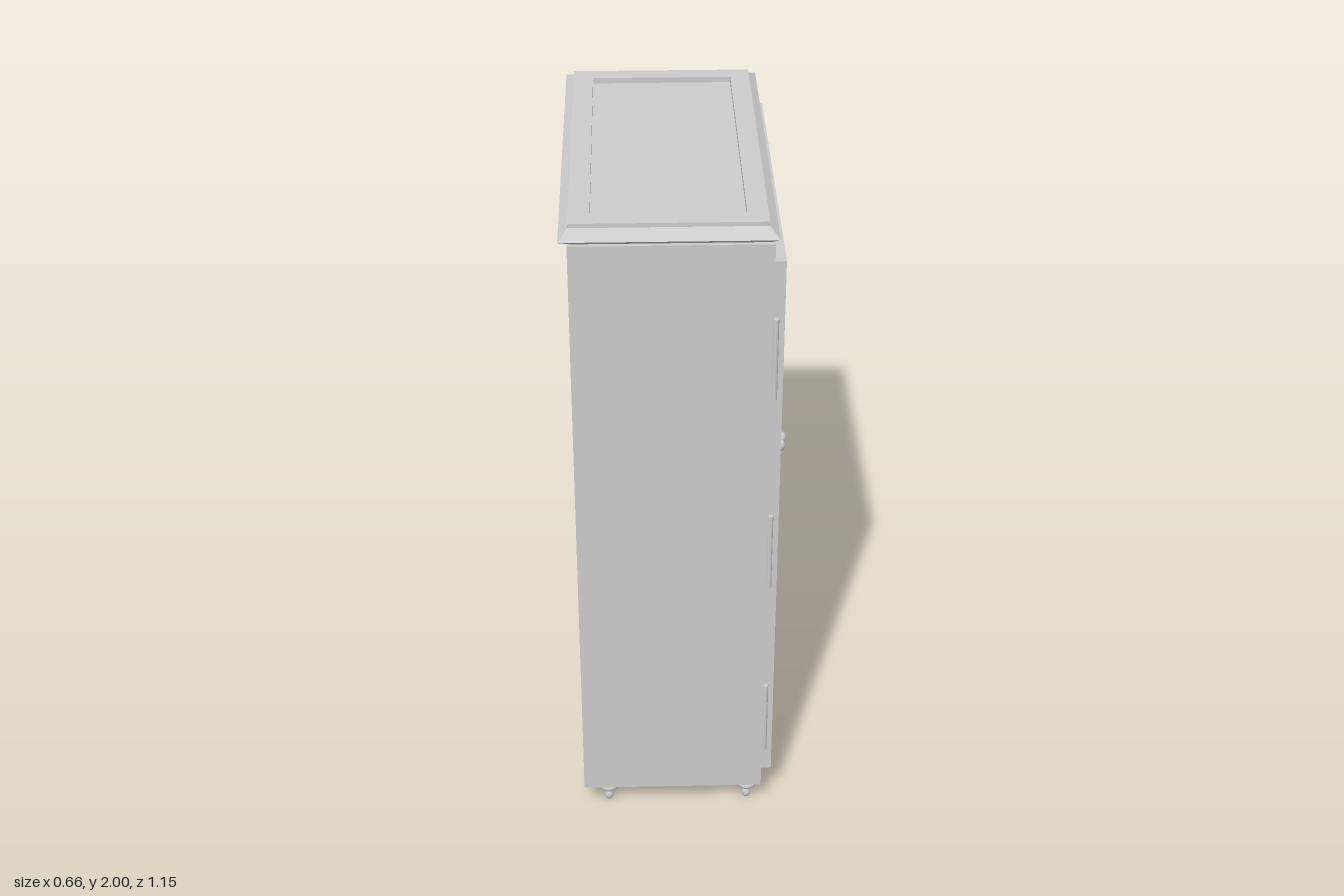
import * as THREE from 'three';

const grey = new THREE.MeshStandardMaterial({ color: 0xcccccc, side: THREE.DoubleSide });

function add(parent, name, geometry, x = 0, y = 0, z = 0) {
  const mesh = new THREE.Mesh(geometry, grey);
  mesh.name = name;
  mesh.position.set(x, y, z);
  parent.add(mesh);
  return mesh;
}

// Box given by its extents
function slab(parent, name, x0, x1, y0, y1, z0, z1) {
  return add(parent, name, new THREE.BoxGeometry(x1 - x0, y1 - y0, z1 - z0),
    (x0 + x1) / 2, (y0 + y1) / 2, (z0 + z1) / 2);
}

// Rectangular rings [x0, x1, z0, z1, y] joined by flat faces, last ring capped
function loftRects(rings) {
  const corners = rings.map(([x0, x1, z0, z1, y]) =>
    [[x0, y, z0], [x0, y, z1], [x1, y, z1], [x1, y, z0]]);
  const pos = [];
  const quad = (a, b, c, d) => pos.push(...a, ...b, ...c, ...a, ...c, ...d);
  for (let r = 0; r < corners.length - 1; r++) {
    for (let i = 0; i < 4; i++) {
      const j = (i + 1) % 4;
      quad(corners[r][i], corners[r][j], corners[r + 1][j], corners[r + 1][i]);
    }
  }
  quad(...corners[corners.length - 1]);
  const g = new THREE.BufferGeometry();
  g.setAttribute('position', new THREE.Float32BufferAttribute(pos, 3));
  g.computeVertexNormals();
  return g;
}

// Door frame with an open window, facing +x
function door(parent, name, z0, z1, w0, w1) {
  const rect = (P, a, b, y0, y1) => {
    const p = new P();
    p.moveTo(-a, y0);
    p.lineTo(-b, y0);
    p.lineTo(-b, y1);
    p.lineTo(-a, y1);
    p.closePath();
    return p;
  };
  const shape = rect(THREE.Shape, z0, z1, 0.13, 1.886);
  shape.holes.push(rect(THREE.Path, w0, w1, 0.155, 1.86));
  const g = new THREE.ExtrudeGeometry(shape, { depth: 0.032, bevelEnabled: false });
  g.rotateY(Math.PI / 2);
  add(parent, name, g, 0.235);
}

export function createModel() {
  const model = new THREE.Group();
  model.name = 'cabinet';

  // Carcass, open towards +x
  const X0 = -0.31, X1 = 0.235, Y0 = 0.085, Y1 = 1.95, Z0 = -0.558, Z1 = 0.553, T = 0.028;
  const body = new THREE.Group();
  body.name = 'carcass';
  model.add(body);
  slab(body, 'sidePanel', X0, X1, Y0, Y1, Z1 - T, Z1);
  slab(body, 'sidePanel', X0, X1, Y0, Y1, Z0, Z0 + T);
  slab(body, 'floorPanel', X0, X1, Y0, Y0 + 0.04, Z0 + T, Z1 - T);
  slab(body, 'ceilingPanel', X0, X1, Y1 - 0.04, Y1, Z0 + T, Z1 - T);
  slab(body, 'backPanel', X0, X0 + 0.025, Y0 + 0.04, Y1 - 0.04, Z0 + T, Z1 - T);

  // Shelves
  for (const y of [0.493, 0.855, 1.157, 1.528]) {
    slab(body, 'shelf', X0 + 0.025, 0.215, y - 0.012, y + 0.012, Z0 + T, Z1 - T);
  }

  // Cornice with a sunken top
  add(model, 'cornice', loftRects([
    [-0.30, 0.225, -0.545, 0.54, 1.95],
    [-0.333, 0.246, -0.576, 0.571, 1.97],
    [-0.308, 0.221, -0.527, 0.522, 1.988],
    [-0.308, 0.221, -0.527, 0.522, 2.0],
    [-0.25, 0.164, -0.47, 0.464, 2.0],
    [-0.25, 0.164, -0.47, 0.464, 1.983],
  ]));

  // Doors
  door(model, 'leftDoor', -0.001, 0.526, 0.033, 0.5);
  door(model, 'rightDoor', -0.536, -0.006, -0.51, -0.037);

  // Hinges
  for (const z of [0.534, -0.542]) {
    for (const y of [0.339, 0.955, 1.593]) {
      add(model, 'hinge', new THREE.CylinderGeometry(0.008, 0.008, 0.25, 12), 0.243, y, z);
    }
  }

  // Knobs
  for (const [x, z] of [[0.306, 0.013], [0.312, -0.031]]) {
    const knob = new THREE.Group();
    knob.name = 'knob';
    knob.position.set(x, 0.988, z);
    model.add(knob);
    add(knob, 'knobBall', new THREE.SphereGeometry(0.019, 20, 14));
    add(knob, 'knobStem', new THREE.CylinderGeometry(0.007, 0.007, 0.03, 12), -0.015)
      .rotation.z = Math.PI / 2;
  }

  // Turned feet
  const profile = [[0, 0], [0.009, 0], [0.013, 0.008], [0.014, 0.018], [0.011, 0.026],
    [0.008, 0.031], [0.01, 0.036], [0.022, 0.041], [0.029, 0.048], [0.03, 0.056],
    [0.026, 0.064], [0.021, 0.07], [0.021, 0.086]].map(([r, y]) => new THREE.Vector2(r, y));
  const footGeometry = new THREE.LatheGeometry(profile, 20);
  for (const x of [-0.235, 0.194]) {
    for (const z of [-0.502, 0.502]) add(model, 'foot', footGeometry, x, 0, z);
  }

  return model;
}
